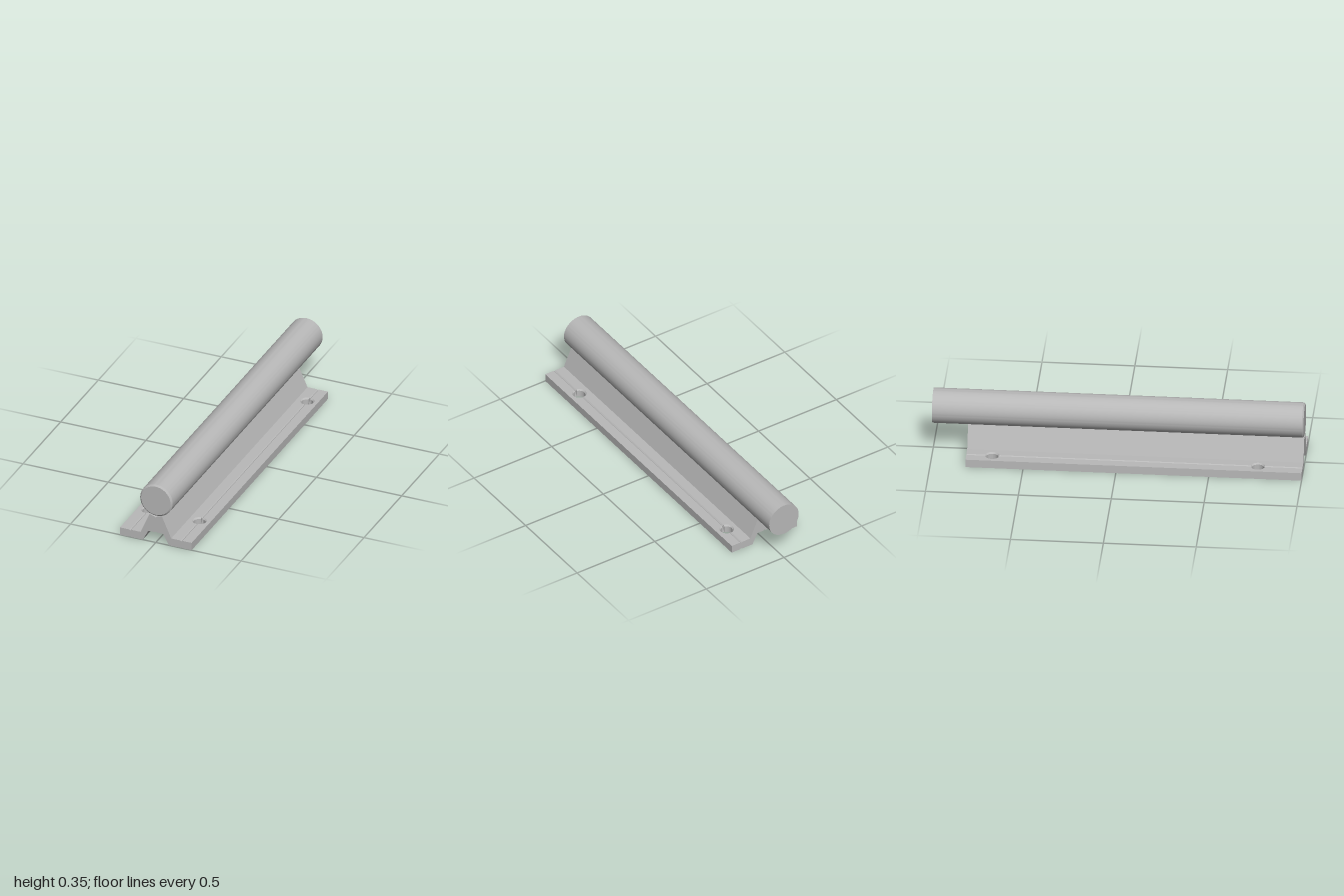
import * as THREE from 'three';
import { toCreasedNormals } from 'three/addons/utils/BufferGeometryUtils.js';

const Z_BACK = -0.81, Z_FRONT = 1;     // rail ends
const HOLES = [-0.67, 0.76];           // screw positions along the rail
const GROOVE = 0.006;                  // half width of the scribed V grooves

// Extrude a cross-section [x, y] along z
function alongZ(points, z0, z1) {
  const shape = new THREE.Shape(points.map(([x, y]) => new THREE.Vector2(x, y)));
  return new THREE.ExtrudeGeometry(shape, { depth: z1 - z0, bevelEnabled: false }).translate(0, 0, z0);
}

// Upright slab on one side of a groove, with half-round bites for the holes
function bittenSlab(side, width, r, y0, y1, steps) {
  const pts = [[width, Z_BACK], [GROOVE, Z_BACK]];
  const sweep = Math.acos(GROOVE / r);
  for (const h of HOLES) {
    for (let i = 0; i <= 20; i++) {
      const a = sweep * (i / 10 - 1);
      pts.push([r * Math.cos(a), h + r * Math.sin(a)]);
    }
  }
  pts.push([GROOVE, Z_FRONT], [width, Z_FRONT]);
  const shape = new THREE.Shape(pts.map(([x, z]) => new THREE.Vector2(side * x, -z)));
  return new THREE.ExtrudeGeometry(shape, { depth: y1 - y0, steps, bevelEnabled: false })
    .rotateX(-Math.PI / 2).translate(0, y0, 0);
}

// Apply a rule to every vertex
function reshape(geometry, rule) {
  const pos = geometry.attributes.position, v = new THREE.Vector3();
  for (let i = 0; i < pos.count; i++) {
    rule(v.fromBufferAttribute(pos, i));
    pos.setXYZ(i, v.x, v.y, v.z);
  }
  return toCreasedNormals(geometry, 0.5);
}

// Slab pair plus the grooved strip between them, interrupted at the holes
function drilledPlate(width, r, y0, y1, steps, strip, rule) {
  const parts = [-1, 1].map(s => bittenSlab(s, width, r, y0, y1, steps));
  const ends = [Z_BACK, ...HOLES.flatMap(h => [h - r, h + r]), Z_FRONT];
  for (let i = 0; i < ends.length; i += 2) parts.push(alongZ(strip, ends[i], ends[i + 1]));
  return parts.map(g => reshape(g, rule));
}

export function createModel() {
  const model = new THREE.Group();
  model.name = 'supportedShaftRail';
  const metal = new THREE.MeshStandardMaterial({ color: 0xb8b8b8 });
  metal.name = 'greyMetal';

  const add = (name, geometries, x = 0) => {
    const group = new THREE.Group();
    group.name = name;
    group.position.x = x;
    for (const g of geometries) {
      const mesh = new THREE.Mesh(g, metal);
      mesh.name = name + 'Section';
      group.add(mesh);
    }
    model.add(group);
  };

  // Round shaft, chamfered at the front only
  const profile = [[0, -1], [0.095, -1], [0.095, 0.992], [0.086, 1], [0, 1]];
  const shaft = new THREE.LatheGeometry(profile.map(([x, y]) => new THREE.Vector2(x, y)), 72)
    .rotateX(Math.PI / 2).translate(0, 0.2565, 0);
  add('shaft', [toCreasedNormals(shaft, 0.5)]);

  // Mounting flanges with countersunk holes and grooves above and below
  const r = 0.032, top = 0.045, g = GROOVE;
  const countersink = v => {
    if (v.y < top - 0.001) return;
    for (const h of HOLES) {
      const d = Math.hypot(v.x, v.z - h);
      if (d < r + 0.001) {
        v.x *= 0.039 / d;
        if (Math.abs(v.x) < 0.008) v.x = Math.sign(v.x) * g;
        v.z = h + (v.z - h) * 0.039 / d;
      }
    }
  };
  const flangeStrip = [[-g, 0], [0, 0.005], [g, 0], [g, top], [0, top - 0.005], [-g, top]];
  const names = { '-1': 'rightFlange', 1: 'leftFlange' };
  for (const s of [-1, 1]) {
    add(names[s], drilledPlate(0.06, r, 0, top, 6, flangeStrip, countersink), s * 0.15);
  }

  // Web core, drilled upward to the shaft, with a shallow V seat on top
  const ceiling = 0.0625, seat = 0.155, lip = 0.168, half = 0.036;
  const seatY = x => seat + Math.abs(x) * (lip - seat) / half;
  const coreStrip = [[-g, ceiling], [0, ceiling + 0.005], [g, ceiling],
    [g, seatY(g)], [0, seat], [-g, seatY(g)]];
  add('webCore', drilledPlate(half, 0.026, ceiling, lip, 1, coreStrip, v => {
    if (v.y > 0.15) v.y = seatY(v.x);
  }));

  // Sloping web sides that run down into the flanges
  const webSide = [[half, ceiling], [0.044, ceiling], [0.076, 0], [0.09, 0], [0.09, top], [half, lip]];
  add('webSides', [-1, 1].map(s => alongZ(webSide.map(([x, y]) => [s * x, y]), Z_BACK, Z_FRONT)));

  return model;
}
